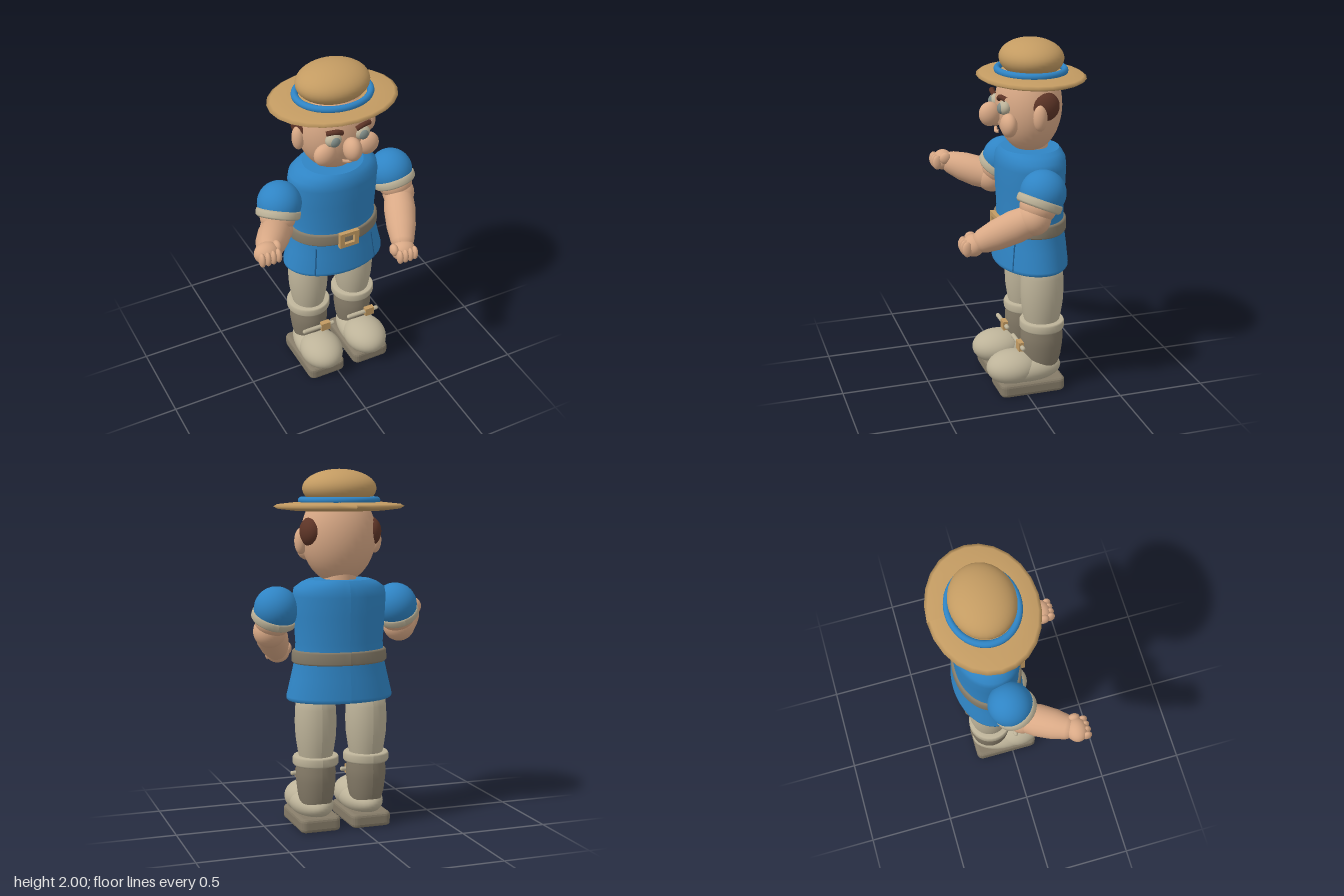
import * as THREE from 'three';

const mat = (name, color) => Object.assign(new THREE.MeshStandardMaterial({ color }), { name });

export function createModel() {
  const M = {
    skin: mat('skin', 0xd9a986), blue: mat('tunicBlue', 0x2f84c4), seam: mat('seamBlue', 0x1f5f94),
    straw: mat('straw', 0xc39b62), beige: mat('beigeCloth', 0xbdb399), leather: mat('leather', 0x857b68),
    hair: mat('hairBrown', 0x5e3527), iris: mat('irisGrey', 0x7f8b86),
  };
  const model = new THREE.Group();
  model.name = 'figure';
  const V = (a) => new THREE.Vector3(...a);
  const UP = V([0, 1, 0]);
  const CX = 0.08; // middle of the body

  const add = (name, geo, material, pos = [0, 0, 0], parent = model) => {
    const m = new THREE.Mesh(geo, material);
    m.name = name;
    m.position.set(...pos);
    parent.add(m);
    return m;
  };
  const ball = (name, material, pos, radii, parent) => {
    const m = add(name, new THREE.SphereGeometry(1, 32, 24), material, pos, parent);
    m.scale.set(...radii);
    return m;
  };
  // stack of ellipses [y, rx, rz], bottom to top; a repeated row makes a sharp edge
  const stack = (rows, sides = 48) => {
    const g = new THREE.LatheGeometry(rows.map(([y, rx]) => new THREE.Vector2(rx, y)), sides, Math.PI);
    const p = g.attributes.position;
    for (let i = 0; i < p.count; i++) {
      const [, rx, rz] = rows[i % rows.length];
      p.setZ(i, p.getZ(i) * rz / rx);
    }
    g.computeVertexNormals();
    return g;
  };
  const E = 0.0005; // closes a stack at its pole
  const tube = (name, material, pts, r) =>
    add(name, new THREE.TubeGeometry(new THREE.CatmullRomCurve3(pts.map(V)), 16, r, 10), material);
  const roundedBox = (w, h, d, bevel) => {
    const s = new THREE.Shape();
    const x = w / 2 - bevel, z = d / 2 - bevel, c = 0.02;
    s.moveTo(-x + c, -z); s.lineTo(x - c, -z); s.quadraticCurveTo(x, -z, x, -z + c);
    s.lineTo(x, z - c); s.quadraticCurveTo(x, z, x - c, z);
    s.lineTo(-x + c, z); s.quadraticCurveTo(-x, z, -x, z - c);
    s.lineTo(-x, -z + c); s.quadraticCurveTo(-x, -z, -x + c, -z);
    const g = new THREE.ExtrudeGeometry(s, { depth: h - 2 * bevel, bevelSize: bevel, bevelThickness: bevel, bevelSegments: 3, curveSegments: 5 });
    return g.translate(0, 0, -(h - 2 * bevel) / 2).rotateX(-Math.PI / 2);
  };

  // hat
  add('hatBrim', stack([[1.772, E, E], [1.774, 0.25, 0.195], [1.785, 0.345, 0.275], [1.798, 0.367, 0.293],
    [1.81, 0.345, 0.275], [1.82, 0.25, 0.2], [1.825, E, E]], 24), M.straw, [CX, 0, -0.093]);
  ball('hatCrown', M.straw, [CX, 1.895, -0.095], [0.207, 0.105, 0.174]);
  const band = add('hatBand', new THREE.TorusGeometry(0.209, 0.02, 12, 48).rotateX(Math.PI / 2), M.blue, [CX, 1.83, -0.093]);
  band.scale.z = 0.87;

  // head
  ball('head', M.skin, [CX, 1.64, -0.08], [0.21, 0.265, 0.181]);
  add('neck', new THREE.CylinderGeometry(0.09, 0.09, 0.1, 24), M.skin, [CX, 1.39, -0.1]);
  ball('nose', M.skin, [CX, 1.598, 0.14], [0.05, 0.067, 0.06]);
  tube('mouth', M.skin, [[CX - 0.04, 1.508, 0.095], [CX, 1.5, 0.105], [CX + 0.04, 1.508, 0.095]], 0.01);
  for (const s of [-1, 1]) {
    ball('cheek', M.skin, [CX + s * 0.128, 1.56, 0.072], [0.065, 0.065, 0.045]);
    ball('ear', M.skin, [CX + s * 0.216, 1.61, -0.075], [0.036, 0.072, 0.038]);
    ball('sideHair', M.hair, [CX + s * 0.17, 1.66, -0.112], [0.062, 0.082, 0.085]);
    ball('eye', M.beige, [CX + s * 0.085, 1.648, 0.083], [0.047, 0.039, 0.034]);
    ball('iris', M.iris, [CX + s * 0.085, 1.646, 0.105], [0.029, 0.029, 0.018]);
    tube('eyebrow', M.hair, [[CX + s * 0.042, 1.69, 0.1], [CX + s * 0.08, 1.708, 0.105], [CX + s * 0.13, 1.7, 0.085]], 0.014);
  }

  // tunic and belt
  add('tunic', stack([[0.733, E, E], [0.733, 0.295, 0.2], [0.733, 0.295, 0.2], [0.742, 0.304, 0.205], [0.755, 0.304, 0.205],
    [0.86, 0.278, 0.195], [0.96, 0.255, 0.182], [1.05, 0.25, 0.18], [1.2, 0.26, 0.188], [1.31, 0.266, 0.192],
    [1.355, 0.258, 0.187], [1.385, 0.215, 0.172], [1.4, 0.175, 0.16], [1.4, 0.175, 0.16], [1.401, E, E]]),
  M.blue, [CX, 0, -0.09]);
  add('belt', stack([[0.94, 0.25, 0.18], [0.94, 0.262, 0.19], [0.95, 0.272, 0.196], [1.003, 0.27, 0.195],
    [1.013, 0.26, 0.188], [1.013, 0.245, 0.175]]), M.leather, [CX, 0, -0.09]);
  for (const s of [-1, 1]) {
    tube('skirtSeam', M.seam, [[CX + s * 0.175, 0.92, 0.051], [CX + s * 0.182, 0.84, 0.059], [CX + s * 0.192, 0.745, 0.069]], 0.0045);
  }
  const frame = new THREE.Shape([[-1, -0.8], [1, -0.8], [1, 0.8], [-1, 0.8]].map(([x, y]) => new THREE.Vector2(x * 0.06, y * 0.06)));
  frame.holes.push(new THREE.Path([[-1, -0.8], [-1, 0.8], [1, 0.8], [1, -0.8]].map(([x, y]) => new THREE.Vector2(x * 0.032, y * 0.032))));
  add('beltBuckle', new THREE.ExtrudeGeometry(frame, { depth: 0.026, bevelEnabled: false }), M.straw, [CX, 0.977, 0.098]);

  // arms: each bends at the elbow and reaches forward
  const arm = (side, shoulder, elbow, hand) => {
    const g = new THREE.Group();
    g.name = side + 'Arm';
    model.add(g);
    const S = V(shoulder), L = V(elbow), H = V(hand);
    const down = L.clone().sub(S).normalize();
    const turn = new THREE.Quaternion().setFromUnitVectors(UP, down.clone().negate());
    add('sleeve', new THREE.SphereGeometry(0.124, 32, 20, 0, Math.PI * 2, 0, Math.PI * 0.64), M.blue, shoulder, g).quaternion.copy(turn);
    const cuff = stack([[-0.025, 0.08, 0.08], [-0.025, 0.115, 0.115], [-0.014, 0.125, 0.125], [0.014, 0.125, 0.125],
      [0.025, 0.117, 0.117], [0.025, 0.08, 0.08]], 32);
    add('sleeveCuff', cuff, M.beige, S.clone().addScaledVector(down, 0.058).toArray(), g).quaternion.copy(turn);
    ball('upperArm', M.skin, S.clone().addScaledVector(down, 0.08).toArray(), [0.1, 0.085, 0.1], g).quaternion.copy(turn);
    ball('elbow', M.skin, elbow, [0.092, 0.092, 0.092], g);
    const dir = H.clone().sub(L), len = dir.length();
    const fore = stack([[0, 0.08, 0.08], [len * 0.3, 0.09, 0.09], [len * 0.6, 0.083, 0.083],
      [len * 0.85, 0.066, 0.066], [len * 0.95, 0.05, 0.05], [len, E, E]], 28);
    add('forearm', fore, M.skin, elbow, g).quaternion.setFromUnitVectors(UP, dir.normalize());
    ball('palm', M.skin, hand, [0.07, 0.06, 0.058], g);
    for (let i = -1.5; i < 2; i++) {
      ball('finger', M.skin, [H.x + i * 0.031, H.y - 0.003, H.z + 0.05 - Math.abs(i) * 0.003], [0.018, 0.043, 0.027], g);
    }
    ball('thumb', M.skin, [H.x - Math.sign(H.x) * 0.06, H.y + 0.022, H.z], [0.024, 0.035, 0.034], g);
  };
  arm('left', [0.43, 1.24, -0.048], [0.453, 1.11, 0.01], [0.322, 0.945, 0.308]);
  arm('right', [-0.27, 1.24, -0.048], [-0.318, 1.115, 0.01], [-0.49, 1.19, 0.262]);

  // legs, boots and shoes
  for (const s of [-1, 1]) {
    const leg = new THREE.Group();
    leg.name = s < 0 ? 'rightLeg' : 'leftLeg';
    leg.position.set(CX + s * 0.149, 0, -0.116);
    model.add(leg);
    add('trouserLeg', stack([[0.38, 0.085, 0.09], [0.45, 0.1, 0.107], [0.53, 0.112, 0.119], [0.61, 0.116, 0.123],
      [0.69, 0.113, 0.12], [0.78, 0.1, 0.108], [0.78, E, E]], 32), M.beige, [0, 0, 0], leg);
    add('bootCuff', stack([[0.37, 0.07, 0.07], [0.37, 0.122, 0.122], [0.38, 0.129, 0.127], [0.413, 0.129, 0.127],
      [0.423, 0.122, 0.122], [0.423, 0.07, 0.07]], 32), M.beige, [0, 0, 0], leg);
    add('bootShaft', stack([[0.14, 0.085, 0.09], [0.2, 0.1, 0.11], [0.28, 0.11, 0.12], [0.33, 0.111, 0.122], [0.38, 0.105, 0.115]], 32),
      M.leather, [0, 0, 0], leg);
    ball('shoe', M.beige, [0, 0.13, 0.1], [0.118, 0.085, 0.213], leg);
    ball('shoeToe', M.beige, [0, 0.143, 0.172], [0.125, 0.097, 0.152], leg);
    add('sole', roundedBox(0.234, 0.08, 0.382, 0.02), M.leather, [0, 0.043, 0.08], leg);
    add('strap', new THREE.CapsuleGeometry(0.013, 0.186, 6, 12).rotateZ(Math.PI / 2), M.beige, [0, 0.29, 0.14], leg);
    add('strapBuckle', new THREE.BoxGeometry(0.058, 0.052, 0.03), M.straw, [0.042, 0.29, 0.143], leg);
  }
  return model;
}
